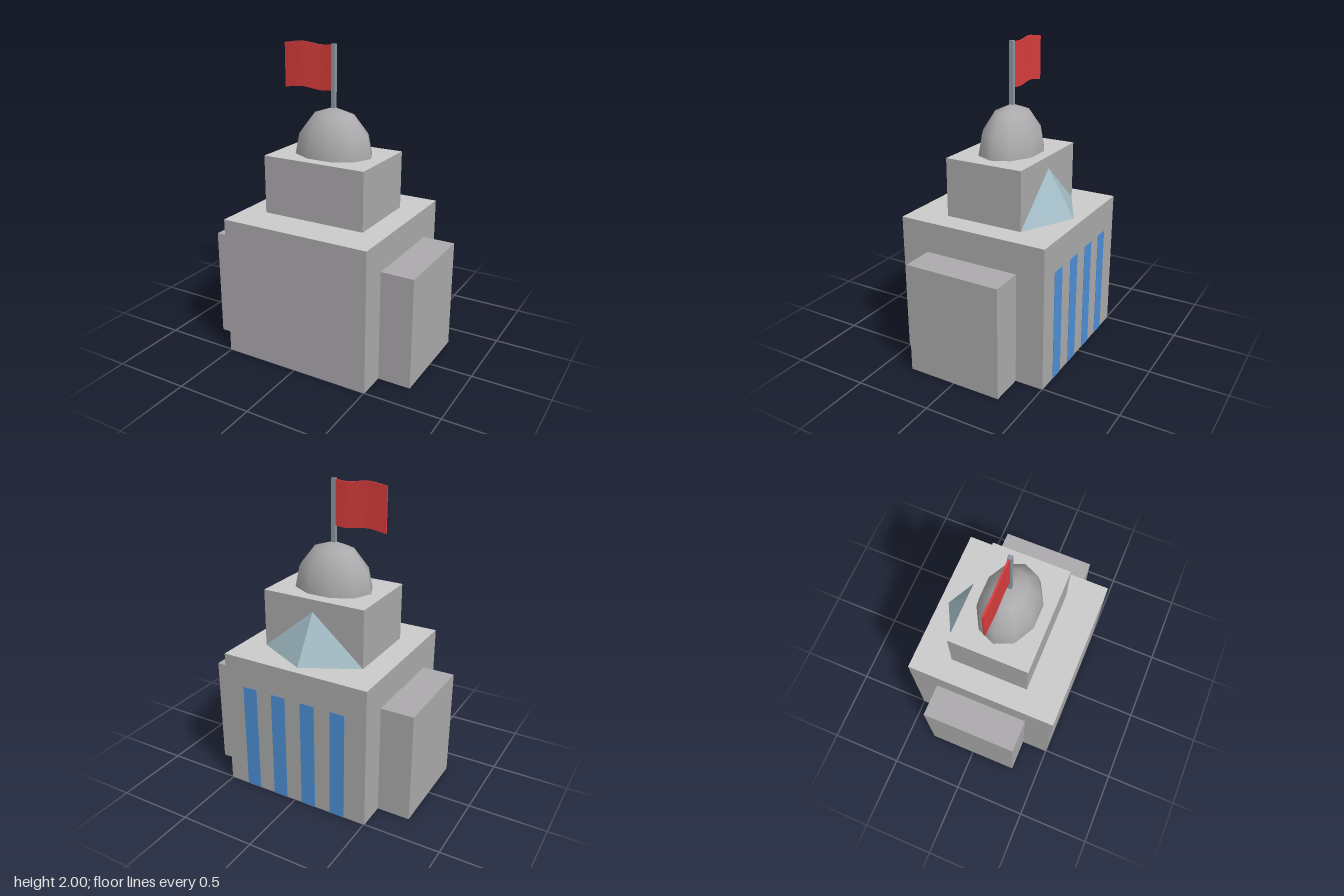
import * as THREE from 'three';

const mat = (color, extra = {}) => new THREE.MeshStandardMaterial({ color, ...extra });

export function createModel() {
  const model = new THREE.Group();
  const wall = mat(0xacaaac);
  const roof = mat(0xcccccc);
  const glass = mat(0xa3bcc6, { side: THREE.DoubleSide });
  const blue = mat(0x4d8fd6);
  const metal = mat(0x8a989f);
  const red = mat(0xd93d3d);

  const add = (name, geometry, material) => {
    const mesh = new THREE.Mesh(geometry, material);
    mesh.name = name;
    model.add(mesh);
    return mesh;
  };

  // Box standing on height y
  const block = (name, w, h, d, x, y, z, material) =>
    add(name, new THREE.BoxGeometry(w, h, d).translate(x, y + h / 2, z), material);

  // Stepped body with lighter roofs on the two central blocks
  const withRoof = [wall, wall, roof, wall, wall, wall];
  block('mainBlock', 1.01, 0.93, 1.005, 0, 0, 0, withRoof);
  block('upperBlock', 0.704, 0.38, 0.524, 0, 0.93, 0, withRoof);

  // Side wings
  for (const side of [-1, 1]) {
    block(side > 0 ? 'leftWing' : 'rightWing', 0.215, 0.73, 0.634, side * 0.6125, 0, 0, wall);
  }

  // Tall window strips on the back
  for (let i = 0; i < 4; i++) {
    block('window' + (i + 1), 0.1, 0.73, 0.01, 0.32 - i * 0.21, 0, -0.5, blue);
  }

  // Faceted glass canopy leaning on the back of the upper block
  const apex = [0, 1.23, -0.262];
  const nose = [0, 0.93, -0.443];
  const left = [0.352, 0.93, -0.262];
  const right = [-0.352, 0.93, -0.262];
  const canopy = new THREE.BufferGeometry();
  canopy.setAttribute('position', new THREE.Float32BufferAttribute(
    [apex, left, nose, apex, nose, right].flat(), 3));
  canopy.computeVertexNormals();
  add('glassCanopy', canopy, glass);

  // Ten-sided oval dome, sunk slightly into the upper block
  const dome = new THREE.SphereGeometry(1, 10, 3, 0, Math.PI * 2, 0, Math.PI / 2);
  dome.scale(0.273, 0.34, 0.203).translate(0, 1.27, 0);
  add('dome', dome, wall);

  // Square flagpole
  block('flagpole', 0.026, 0.42, 0.026, 0, 1.575, 0, metal);

  // Rippling flag
  const flag = new THREE.BoxGeometry(0.345, 0.28, 0.012, 10, 1, 1).translate(-0.1825, 1.852, 0);
  const p = flag.attributes.position;
  for (let i = 0; i < p.count; i++) {
    const wave = Math.sin((-0.155 - p.getX(i)) * Math.PI * 2 / 0.3);
    p.setY(i, p.getY(i) + 0.008 * wave);
    p.setZ(i, p.getZ(i) + 0.003 * wave);
  }
  flag.computeVertexNormals();
  add('flag', flag, red);

  return model;
}
